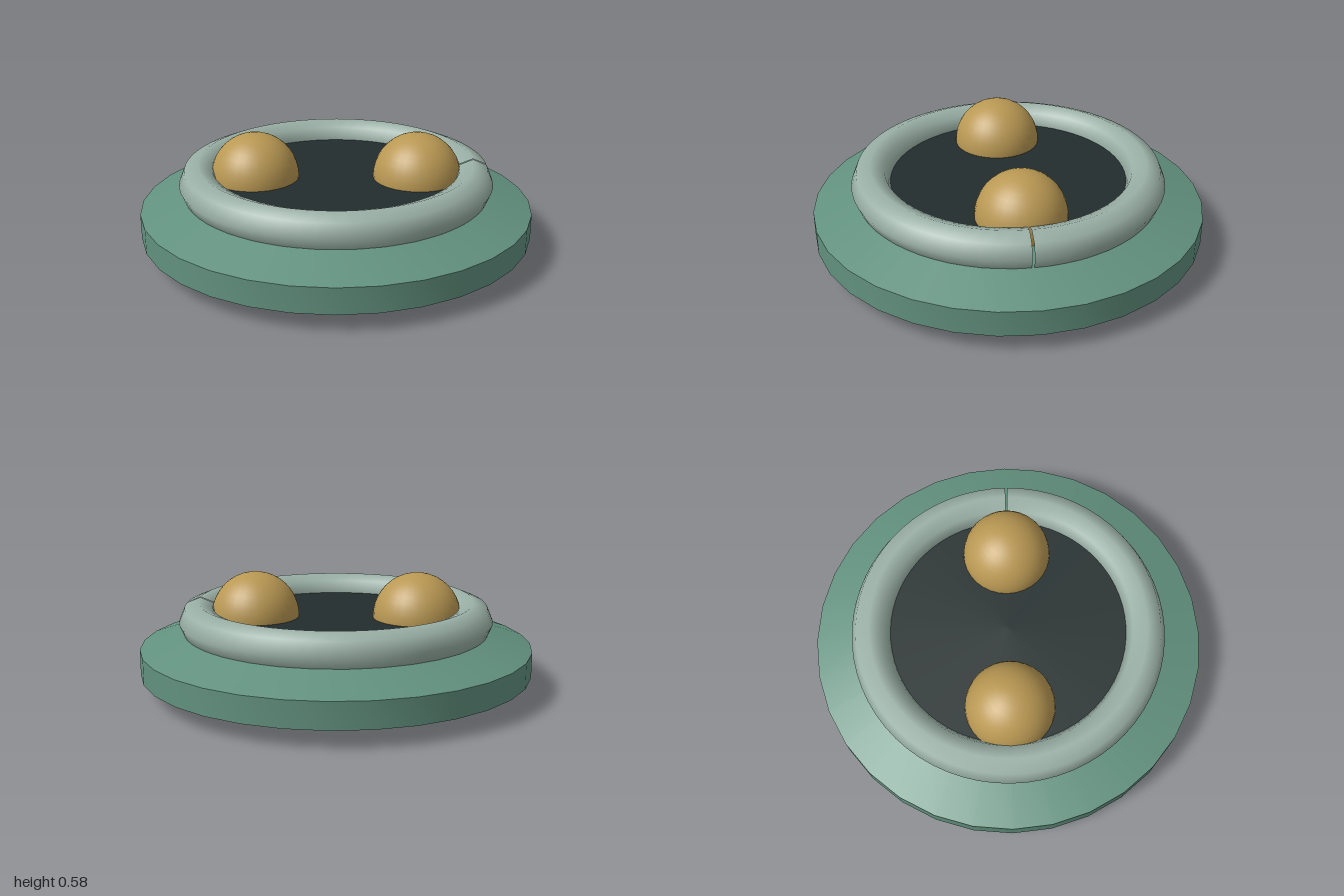
import * as THREE from 'three';
import { toCreasedNormals } from 'three/addons/utils/BufferGeometryUtils.js';

function material(name, color) {
  const m = new THREE.MeshStandardMaterial({ color });
  m.name = name;
  return m;
}

export function createModel() {
  const group = new THREE.Group();
  group.name = 'ringedDisc';
  const green = material('seaGreen', 0x62917f);
  const grey = material('paleGreyGreen', 0x9ab0a6);
  const dark = material('darkSlate', 0x222d2d);
  const gold = material('ochre', 0xb99853);

  function add(name, geometry, mat, x = 0, y = 0, z = 0) {
    const mesh = new THREE.Mesh(geometry, mat);
    mesh.name = name;
    mesh.position.set(x, y, z);
    group.add(mesh);
    return mesh;
  }

  // Bevelled base, crisp between bands and smooth around
  const profile = [[0, 0], [0.7, 0], [1, 0.09], [1, 0.22], [0.71, 0.32], [0, 0.32]]
    .map(([r, y]) => new THREE.Vector2(r, y));
  add('base', toCreasedNormals(new THREE.LatheGeometry(profile, 32), 0.24), green);

  // Rim ring, with a hairline gap on the left side
  const ring = new THREE.TorusGeometry(0.7, 0.1, 8, 64, 6.27).rotateX(-Math.PI / 2);
  add('rimRing', ring, grey, 0, 0.35, 0);

  // Dark plate inside the ring
  add('innerPlate', new THREE.CylinderGeometry(0.61, 0.61, 0.05, 48), dark, 0, 0.33, 0);

  // Two balls sunk halfway into the plate
  for (const side of [-1, 1]) {
    add(side > 0 ? 'leftBall' : 'rightBall',
      new THREE.SphereGeometry(0.225, 32, 20), gold, side * 0.415, 0.36, 0);
  }
  return group;
}
